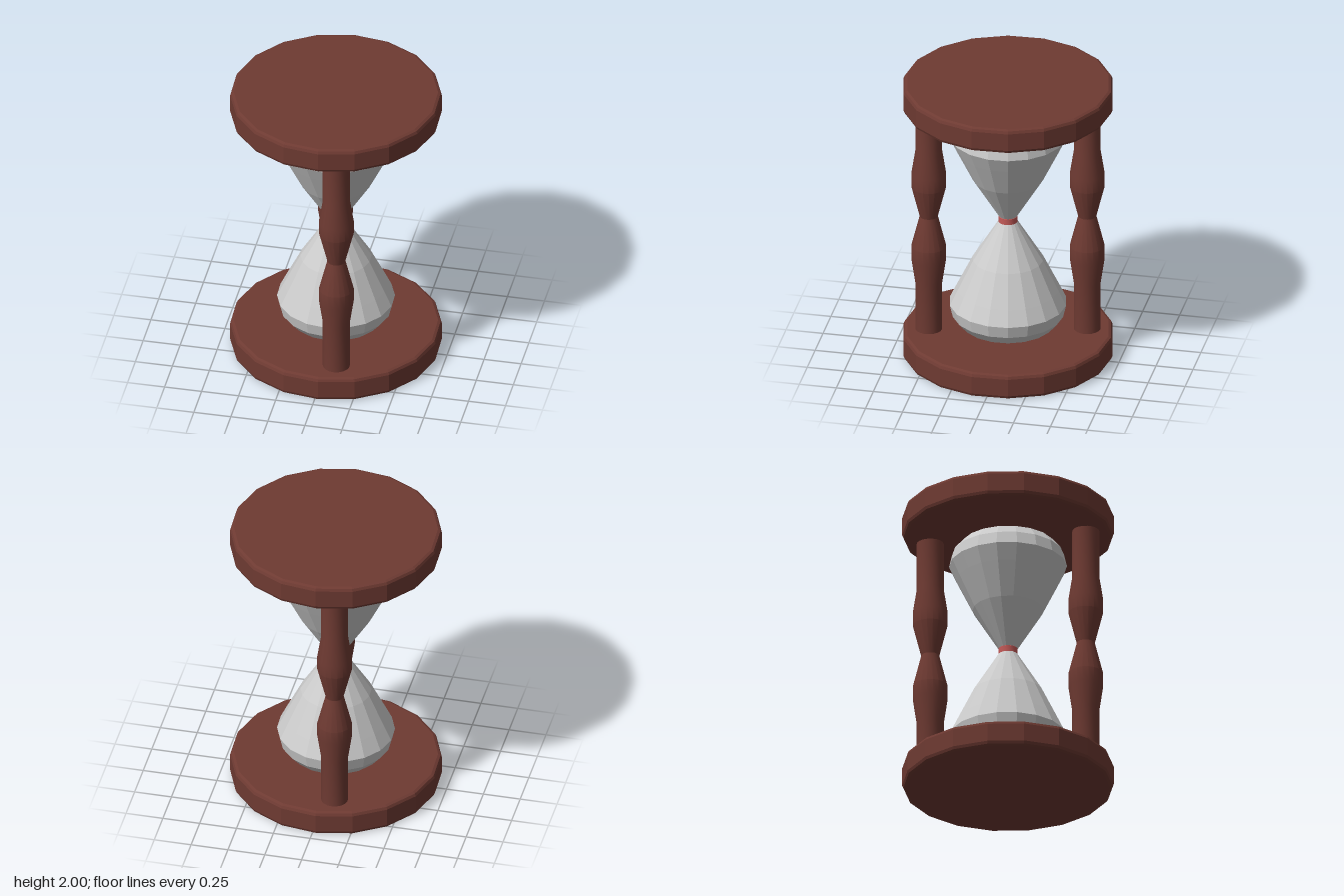
import * as THREE from 'three';
import { toCreasedNormals } from 'three/addons/utils/BufferGeometryUtils.js';

const SIDES = 18;
const TURN = THREE.MathUtils.degToRad(2); // slight turn of all the facets

// Turned part from a [radius, height] profile listed bottom to top
function turned(name, profile, material, creased = false) {
  const points = profile.map(([r, y]) => new THREE.Vector2(r, y));
  let geometry = new THREE.LatheGeometry(points, SIDES, TURN);
  if (creased) geometry = toCreasedNormals(geometry, 0.38);
  const mesh = new THREE.Mesh(geometry, material);
  mesh.name = name;
  return mesh;
}

export function createModel() {
  const group = new THREE.Group();
  group.name = 'hourglass';

  const wood = new THREE.MeshStandardMaterial({ color: 0x6e3a32 });
  const woodFlat = new THREE.MeshStandardMaterial({ color: 0x6e3a32, flatShading: true });
  const glass = new THREE.MeshStandardMaterial({ color: 0xcccccc, flatShading: true });
  const red = new THREE.MeshStandardMaterial({ color: 0xc45a58 });

  // Round end plates with softened rims
  const H = 0.175;
  const plate = [
    [0, 0], [0.675, 0], [0.692, 0.008], [0.7, 0.026],
    [0.7, H - 0.026], [0.692, H - 0.008], [0.675, H], [0, H],
  ];
  const bottomPlate = turned('bottomPlate', plate, woodFlat);
  const topPlate = turned('topPlate', plate, woodFlat);
  topPlate.position.y = 2 - H;
  group.add(bottomPlate, topPlate);

  // Two bulbs, mirrored about the neck
  const MID = 0.995;
  const bulb = [
    [0.05, 0], [0.235, 0.30], [0.34, 0.515], [0.39, 0.62],
    [0.37, 0.705], [0.31, 0.775], [0.2, 0.823], [0, 0.83],
  ];
  const upper = bulb.map(([r, y]) => [r, MID + y]);
  const lower = bulb.map(([r, y]) => [r, MID - y]).reverse();
  group.add(turned('upperBulb', upper, glass), turned('lowerBulb', lower, glass));

  // Collar around the neck
  group.add(turned('neckCollar', [
    [0, 0.96], [0.058, 0.96], [0.064, 0.967], [0.064, 1.013], [0.058, 1.02], [0, 1.02],
  ], red, true));

  // Two turned posts on opposite sides
  const post = [
    [0.09, 0.16], [0.09, 0.52], [0.115, 0.69], [0.115, 0.79], [0.06, 1.01],
    [0.115, 1.23], [0.115, 1.33], [0.09, 1.49], [0.09, 1.84],
  ];
  for (const [name, side] of [['frontPost', 1], ['backPost', -1]]) {
    const mesh = turned(name, post, wood, true);
    mesh.position.set(side * 0.11, 0, side * 0.512);
    group.add(mesh);
  }

  return group;
}
